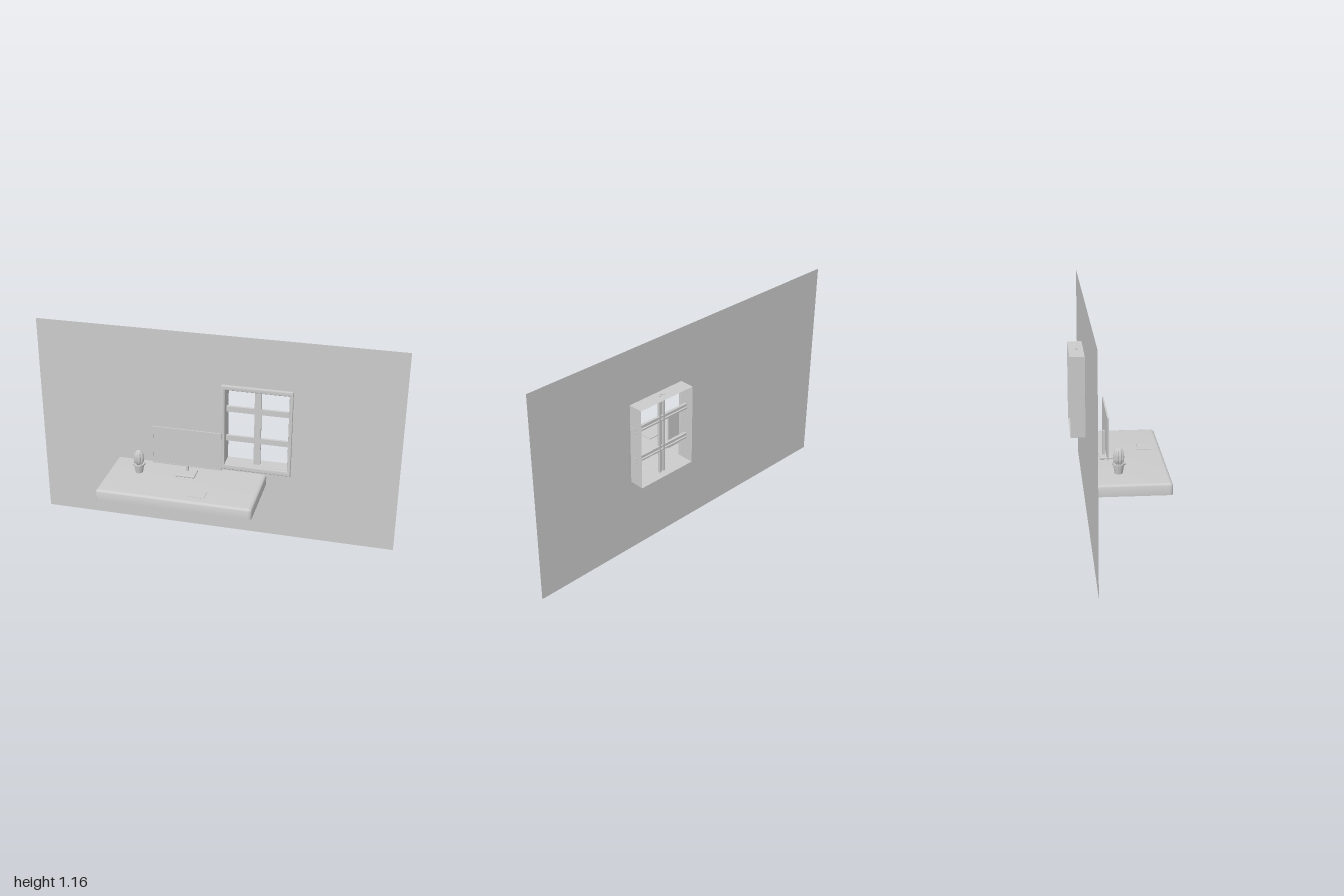
import * as THREE from 'three';
import { toCreasedNormals } from 'three/addons/utils/BufferGeometryUtils.js';
import { RoundedBoxGeometry } from 'three/addons/geometries/RoundedBoxGeometry.js';

const grey = new THREE.MeshStandardMaterial({ color: 0xcccccc, side: THREE.DoubleSide });

// Adds a named mesh to a parent
function add(parent, name, geometry, x = 0, y = 0, z = 0) {
  const mesh = new THREE.Mesh(geometry, grey);
  mesh.name = name;
  mesh.position.set(x, y, z);
  parent.add(mesh);
  return mesh;
}

// Box given by its limits
function box(parent, name, [x0, x1], [y0, y1], [z0, z1]) {
  return add(parent, name, new THREE.BoxGeometry(x1 - x0, y1 - y0, z1 - z0),
    (x0 + x1) / 2, (y0 + y1) / 2, (z0 + z1) / 2);
}

function subgroup(parent, name) {
  const g = new THREE.Group();
  g.name = name;
  parent.add(g);
  return g;
}

// Closed rectangle as points, for outlines and holes
function rect(x0, x1, y0, y1) {
  return [[x0, y0], [x1, y0], [x1, y1], [x0, y1]].map(([x, y]) => new THREE.Vector2(x, y));
}

function rectWithHole(outer, inner) {
  const shape = new THREE.Shape(rect(...outer));
  shape.holes.push(new THREE.Path(rect(...inner).reverse()));
  return shape;
}

const OPENING = [0.05, 0.4, 0.424, 0.872];
const WALL_Z = -0.155;
const BACK_Z = -0.236;

function buildWindow(parent) {
  const win = subgroup(parent, 'window');
  const [x0, x1, y0, y1] = OPENING;

  // Trim with softened edges around the opening
  const b = 0.005;
  const trim = new THREE.ExtrudeGeometry(
    rectWithHole([0.03 + b, 0.418 - b, 0.396 + b, 0.897 - b], [x0 + 0.001 - b, x1 - 0.001 + b, y0 + 0.001 - b, y1 - 0.001 + b]
      .map((v, i) => v + (i % 2 ? 1 : -1) * -0.0005)),
    { depth: 0.007, bevelEnabled: true, bevelSize: b, bevelThickness: b, bevelSegments: 4 });
  add(win, 'windowTrim', toCreasedNormals(trim, 0.6), 0, 0, -0.15);

  // Four thin reveal panels reaching back through the wall
  const w = x1 - x0, h = y1 - y0, d = WALL_Z + 0.01 - BACK_Z;
  const zc = BACK_Z + d / 2;
  for (const x of [x0, x1])
    add(win, 'revealSide', new THREE.PlaneGeometry(d, h), x, (y0 + y1) / 2, zc).rotation.y = Math.PI / 2;
  for (const y of [y0, y1])
    add(win, 'revealLedge', new THREE.PlaneGeometry(w, d), (x0 + x1) / 2, y, zc).rotation.x = -Math.PI / 2;

  // Glazing bars: channels open to the back, ends just through the reveal
  const bar = (width, length) => {
    const a = width / 2, t = width * 0.28;
    const s = new THREE.Shape([[-a, -0.015], [-a + t, -0.015], [-a + t, -0.006], [a - t, -0.006],
      [a - t, -0.015], [a, -0.015], [a, 0], [-a, 0]].map(([x, y]) => new THREE.Vector2(x, y)));
    return new THREE.ExtrudeGeometry(s, { depth: length, bevelEnabled: false })
      .translate(0, 0, -length / 2).rotateX(Math.PI / 2).scale(1, 1, -1);
  };
  // Restores outward faces after the mirrored scale
  const flip = (g) => {
    const p = g.attributes.position, a = p.array;
    for (let i = 0; i < a.length; i += 9)
      for (let k = 0; k < 3; k++) [a[i + k], a[i + 3 + k]] = [a[i + 3 + k], a[i + k]];
    g.computeVertexNormals();
    return g;
  };
  // Bar section is drawn with its front at z = 0 and its lips toward -z
  const orient = (g) => {
    g.computeBoundingBox();
    if (g.boundingBox.max.z > 0.001) g.scale(1, 1, -1); else flip(g);
    return g;
  };
  add(win, 'uprightBar', orient(bar(0.036, h + 0.006)), 0.223, (y0 + y1) / 2, -0.182);
  for (const y of [0.568, 0.742])
    add(win, 'crossBar', orient(bar(0.031, w + 0.005)), (x0 + x1) / 2, y, -0.182).rotation.z = Math.PI / 2;
}

function buildDesk(parent) {
  // Rounded block cut flat underneath and at the back
  const g = new RoundedBoxGeometry(0.85, 0.12, 0.45, 5, 0.016);
  const p = g.attributes.position;
  for (let i = 0; i < p.count; i++) {
    p.setY(i, Math.max(p.getY(i), 0.001));
    p.setZ(i, Math.max(p.getZ(i), -0.165));
  }
  add(parent, 'deskTop', toCreasedNormals(g, 0.6), -0.14, 0.326, 0.0145);
}

function buildMonitor(parent) {
  const mon = subgroup(parent, 'monitor');
  box(mon, 'screen', [-0.332, 0.054], [0.43, 0.651], [-0.065, -0.0595]);
  const bezel = new THREE.ExtrudeGeometry(
    rectWithHole([-0.332, 0.054, 0.43, 0.651], [-0.326, 0.048, 0.436, 0.645]),
    { depth: 0.002, bevelEnabled: false });
  add(mon, 'bezel', bezel, 0, 0, -0.0597);
  box(mon, 'standPost', [-0.147, -0.133], [0.39, 0.526], [-0.078, -0.065]);
  add(mon, 'standFoot', new RoundedBoxGeometry(0.11, 0.011, 0.085, 3, 0.004), -0.14, 0.391, -0.053);
}

function buildTrackpad(parent) {
  // Thin wedge, higher at the back
  const g = new THREE.BoxGeometry(0.087, 0.006, 0.068);
  const p = g.attributes.position;
  for (let i = 0; i < p.count; i++)
    if (p.getY(i) > 0 && p.getZ(i) > 0) p.setY(i, 0);
  g.computeVertexNormals();
  add(parent, 'trackpad', g, -0.024, 0.388, 0.15);
}

function buildCactus(parent) {
  const plant = subgroup(parent, 'cactus');
  plant.position.set(-0.397, 0.386, -0.014);
  // Tapered pot with a lip
  const profile = [[0, 0], [0.02, 0], [0.028, 0.046], [0.034, 0.047], [0.034, 0.056], [0.029, 0.056], [0.028, 0.05], [0, 0.05]];
  const pot = new THREE.LatheGeometry(profile.map(([x, y]) => new THREE.Vector2(x, y)), 32);
  add(plant, 'pot', toCreasedNormals(pot, 0.5));
  // Body with eight ribs meeting in sharp grooves
  const g = new THREE.SphereGeometry(1, 64, 20);
  const p = g.attributes.position;
  for (let i = 0; i < p.count; i++) {
    const x = p.getX(i), y = p.getY(i), z = p.getZ(i);
    const r = 0.029 * (0.76 + 0.24 * Math.abs(Math.sin(4 * Math.atan2(z, x))));
    p.setXYZ(i, x * r, y * 0.047, z * r);
  }
  add(plant, 'cactusBody', toCreasedNormals(g, 0.6), 0, 0.086, 0);
}

export function createModel() {
  const model = new THREE.Group();
  model.name = 'deskByWindow';

  // Thin wall with the window opening
  add(model, 'wall', new THREE.ShapeGeometry(rectWithHole([-1, 1, 0.01, 1.172], OPENING)), 0, 0, WALL_Z);

  buildWindow(model);
  buildDesk(model);
  buildMonitor(model);
  buildTrackpad(model);
  buildCactus(model);
  return model;
}
